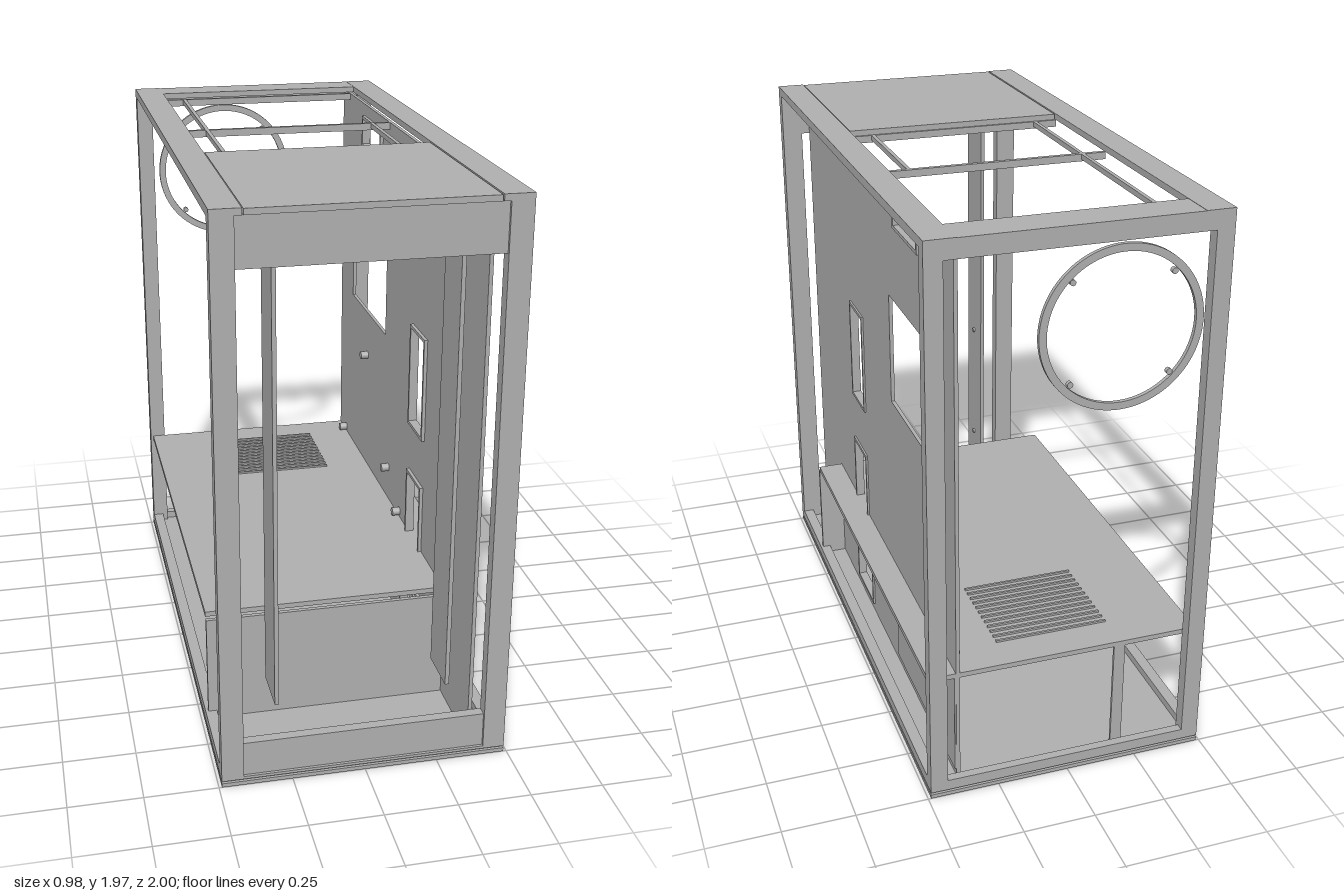
import * as THREE from 'three';

export function createModel() {
  const model = new THREE.Group();
  model.name = 'computerCase';
  const grey = new THREE.MeshStandardMaterial({ color: 0xb0b0b0 });
  grey.name = 'satin grey';

  const add = (name, geometry) => {
    const mesh = new THREE.Mesh(geometry, grey);
    mesh.name = name;
    model.add(mesh);
    return mesh;
  };
  // Box given by its limits on each axis
  const box = (name, x0, x1, y0, y1, z0, z1) => {
    const mesh = add(name, new THREE.BoxGeometry(x1 - x0, y1 - y0, z1 - z0));
    mesh.position.set((x0 + x1) / 2, (y0 + y1) / 2, (z0 + z1) / 2);
    return mesh;
  };
  const rectangle = (Type, u0, u1, v0, v1) => {
    const p = new Type();
    p.moveTo(u0, v0);
    p.lineTo(u1, v0);
    p.lineTo(u1, v1);
    p.lineTo(u0, v1);
    p.closePath();
    return p;
  };
  // Upright sheet in the z-y plane; u runs towards the back
  const sideSheet = (name, shape, x, depth) => {
    const g = new THREE.ExtrudeGeometry(shape, { depth, bevelEnabled: false, curveSegments: 32 });
    g.rotateY(Math.PI / 2);
    add(name, g).position.x = x;
  };

  // Base
  box('basePanel', -0.49, 0.49, 0, 0.014, -1, 1);
  box('baseCore', -0.48, 0.48, 0.014, 0.022, -0.99, 0.99);
  box('floor', -0.49, 0.49, 0.022, 0.032, -1, 1);

  // Corner posts and side rails
  for (const s of [-1, 1]) {
    const span = (a, b) => (s > 0 ? [a, b] : [-b, -a]);
    box('frontPost', ...span(0.415, 0.49), 0.03, 1.945, 0.955, 1);
    box('backPost', ...span(0.43, 0.49), 0.03, 1.945, -1, -0.955);
    box('bottomRail', ...span(0.45, 0.49), 0.03, 0.06, -0.955, 0.955);
    box('topRail', ...span(0.392, 0.49), 1.943, 1.965, -1, 1);
    box('topRailLip', ...span(0.47, 0.49), 1.935, 1.945, -0.955, 0.955);
  }

  // Front and back cross members
  box('frontHeader', -0.415, 0.415, 1.78, 1.943, 0.955, 0.99);
  box('frontSill', -0.415, 0.415, 0.03, 0.155, 0.955, 0.99);
  box('backHeader', -0.43, 0.43, 1.9, 1.943, -1, -0.97);
  box('backSill', -0.43, 0.43, 0.03, 0.06, -1, -0.97);

  // Roof with its large opening
  box('roofFrontPlate', -0.388, 0.388, 1.943, 1.963, 0.24, 1);
  box('roofBackPlate', -0.392, 0.392, 1.943, 1.964, -1, -0.87);
  for (const z of [-0.845, -0.225, 0.24]) {
    box('roofCrossbar', -0.392, 0.385, 1.918, 1.943, z - 0.008, z + 0.008);
  }
  box('roofLongBar', -0.317, -0.303, 1.925, 1.943, -0.84, 0.24);
  box('roofShortBar', 0.298, 0.312, 1.925, 1.943, -0.225, 0.24);

  // Component tray: windows as [zFront, zBack, bottom, top, rimmed]
  const windows = [
    [0.345, 0.16, 0.895, 1.283, true],
    [0.345, 0.16, 0.32, 0.708, true],
    [0.352, 0.115, 0.065, 0.262, true],
    [-0.31, -0.595, 1.777, 1.898, true],
    [-0.22, -0.75, 1.11, 1.51, false],
  ];
  const tray = rectangle(THREE.Shape, -0.953, 0.953, 0.032, 1.943);
  for (const [za, zb, y0, y1, rimmed] of windows) {
    tray.holes.push(rectangle(THREE.Path, -za, -zb, y0, y1));
    if (!rimmed) continue;
    const rim = rectangle(THREE.Shape, -za, -zb, y0, y1);
    rim.holes.push(rectangle(THREE.Path, -za + 0.012, -zb - 0.012, y0 + 0.012, y1 - 0.012));
    sideSheet('windowRim', rim, 0.36, 0.032);
  }
  sideSheet('componentTray', tray, 0.372, 0.013);
  box('trayLowerPanel', 0.384, 0.39, 0.06, 0.43, -0.95, -0.248);

  // Standoffs on the inner face of the tray as [z, y]
  const standoffs = [
    [-0.845, 1.67], [-0.845, 1.38], [-0.845, 0.465], [-0.49, 0.93],
    [-0.135, 1.6], [-0.135, 0.58], [0.04, 1.67], [0.04, 0.47],
  ];
  for (const [z, y] of standoffs) {
    const peg = add('standoff', new THREE.CylinderGeometry(0.016, 0.016, 0.03, 12));
    peg.rotation.z = Math.PI / 2;
    peg.position.set(0.357, y, z);
  }

  // Power supply shroud
  box('shroudTop', -0.48, 0.48, 0.43, 0.448, -0.95, 0.62);
  box('shroudFront', -0.48, 0.48, 0.032, 0.425, 0.625, 0.64);
  box('shroudBackPost', -0.22, -0.18, 0.032, 0.43, -0.95, -0.94);
  box('shroudInnerPost', -0.205, -0.195, 0.032, 0.43, -0.25, -0.235);
  for (let i = 0; i < 12; i++) {
    const z = -0.82 + i * 0.031;
    box('ventSlat', -0.2, 0.2, 0.448, 0.455, z - 0.004, z + 0.004);
  }

  // Fan mounting plates behind the front opening
  for (const s of [-1, 1]) {
    const x = s < 0 ? -0.295 : 0.29;
    box('fanPlate', x - 0.007, x + 0.007, 0.27, 1.943, 0.79, 0.96);
    for (const y of [0.38, 0.87, 1.35, 1.75]) {
      const stud = add('plateStud', new THREE.CylinderGeometry(0.009, 0.009, 0.012, 10));
      stud.rotation.z = Math.PI / 2;
      stud.position.set(x + 0.009, y, 0.875);
    }
  }

  // Rear fan ring with four screw bosses
  const ring = new THREE.Shape().absarc(0, 0, 0.27, 0, Math.PI * 2, false);
  ring.holes.push(new THREE.Path().absarc(0, 0, 0.245, 0, Math.PI * 2, true));
  const ringMesh = add('fanRing', new THREE.ExtrudeGeometry(ring, {
    depth: 0.015, bevelEnabled: false, curveSegments: 48,
  }));
  ringMesh.position.set(-0.135, 1.62, -0.998);
  for (const dx of [-0.165, 0.165]) {
    for (const dy of [-0.165, 0.165]) {
      const boss = add('fanScrew', new THREE.CylinderGeometry(0.01, 0.01, 0.015, 12));
      boss.rotation.x = Math.PI / 2;
      boss.position.set(-0.135 + dx, 1.62 + dy, -0.99);
    }
  }
  return model;
}
